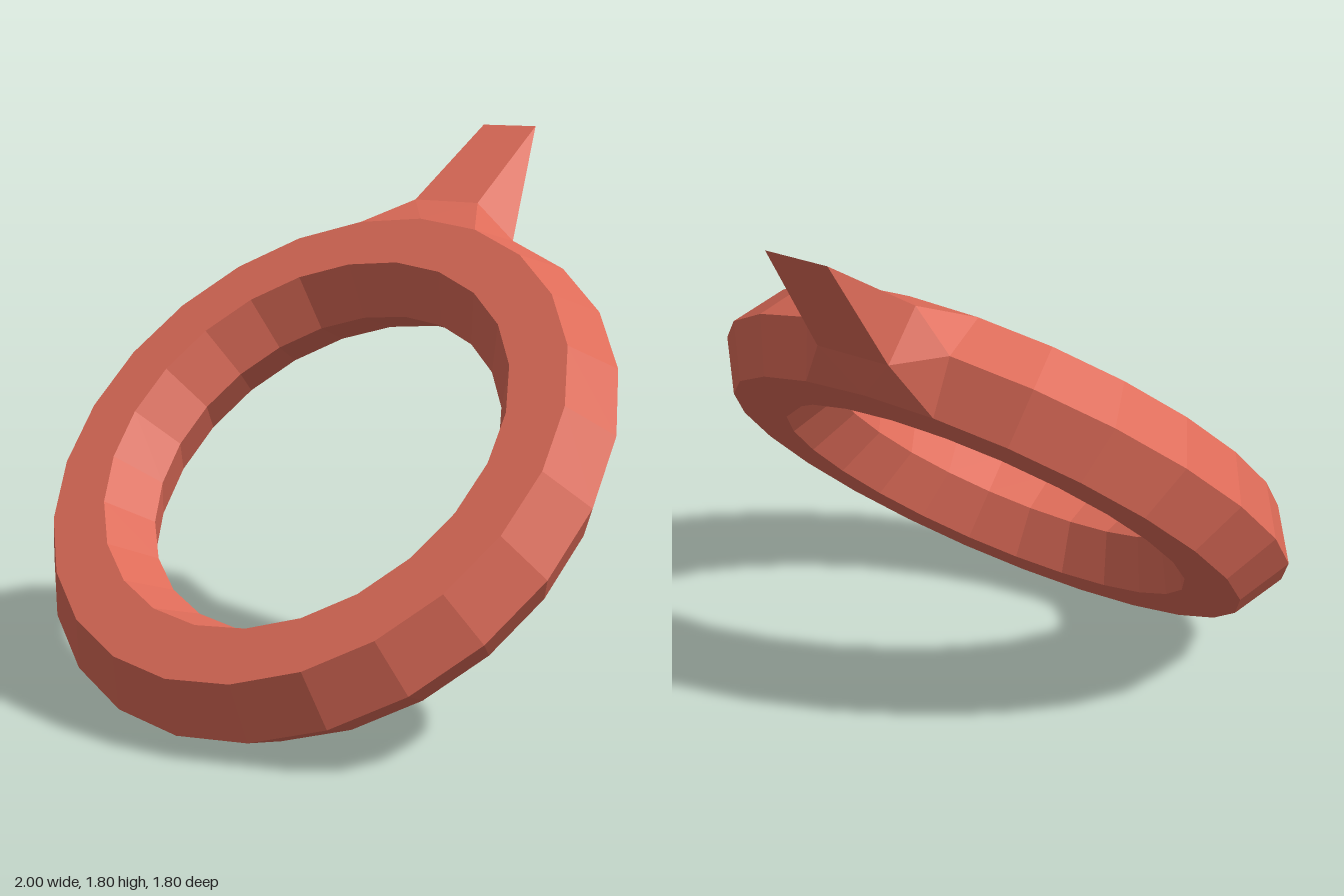
import * as THREE from 'three';

const SEGMENTS = 24;
const TOP = SEGMENTS / 4; // index of the ring section under the spike

// Hexagonal cross-section: [radius, depth]
const PROFILE = [[1, 0], [0.9, 0.166], [0.71, 0.166], [0.615, 0], [0.71, -0.166], [0.9, -0.166]];

// Corner j of ring section i
function corner(i, j) {
  const a = (i / SEGMENTS) * Math.PI * 2;
  const [r, z] = PROFILE[j % PROFILE.length];
  return [r * Math.cos(a), r * Math.sin(a), z];
}

function facetedMesh(name, triangles, material) {
  const geometry = new THREE.BufferGeometry();
  geometry.setAttribute('position', new THREE.Float32BufferAttribute(triangles.flat(2), 3));
  geometry.computeVertexNormals();
  const mesh = new THREE.Mesh(geometry, material);
  mesh.name = name;
  return mesh;
}

// Hexagonal ring, left open on the outside where the spike grows out
function ringTriangles() {
  const tris = [];
  for (let i = 0; i < SEGMENTS; i++) {
    for (let j = 0; j < PROFILE.length; j++) {
      const underSpike = (i === TOP - 1 || i === TOP) && (j === 0 || j === 5);
      if (underSpike) continue;
      const a = corner(i, j), b = corner(i + 1, j), c = corner(i + 1, j + 1), d = corner(i, j + 1);
      tris.push([a, b, c], [a, c, d]);
    }
  }
  return tris;
}

// Flared base blending into a wedge that ends in a straight sharp edge
function spikeTriangles() {
  const tris = [];
  const midR = corner(TOP - 1, 0), midL = corner(TOP + 1, 0);
  const tipR = [0.108, 1.475, 0], tipL = [-0.108, 1.475, 0];
  const neck = (x, s) => [x * 0.128, 1.038, s * 0.097];

  // Front and back halves
  for (const s of [1, -1]) {
    const j = s > 0 ? 1 : 5;
    const rimR = corner(TOP - 1, j), rim = corner(TOP, j), rimL = corner(TOP + 1, j);
    const neckR = neck(1, s), neckL = neck(-1, s);
    const half = [
      [rim, rimR, neckR], [rim, neckR, neckL], [rimL, rim, neckL],
      [rimR, midR, neckR], [midL, rimL, neckL],
      [neckL, neckR, tipR], [neckL, tipR, tipL],
      [neckR, midR, tipR], // this side runs straight from the ring to the tip
    ];
    for (const [a, b, c] of half) tris.push(s > 0 ? [a, b, c] : [a, c, b]);
  }

  // Opposite side folds inward at the neck
  const front = neck(-1, 1), back = neck(-1, -1);
  tris.push([front, tipL, back], [front, back, midL]);
  return tris;
}

export function createModel() {
  const coral = new THREE.MeshStandardMaterial({ color: 0xdd6b58 });
  coral.name = 'coral';
  coral.flatShading = true;

  const tilted = new THREE.Group();
  tilted.name = 'tiltedRing';
  tilted.add(facetedMesh('ring', ringTriangles(), coral));
  tilted.add(facetedMesh('spike', spikeTriangles(), coral));
  tilted.rotation.x = -Math.PI / 4;
  tilted.position.set(0, 0.756, 0.144);

  const model = new THREE.Group();
  model.name = 'spikedRing';
  model.add(tilted);
  return model;
}
